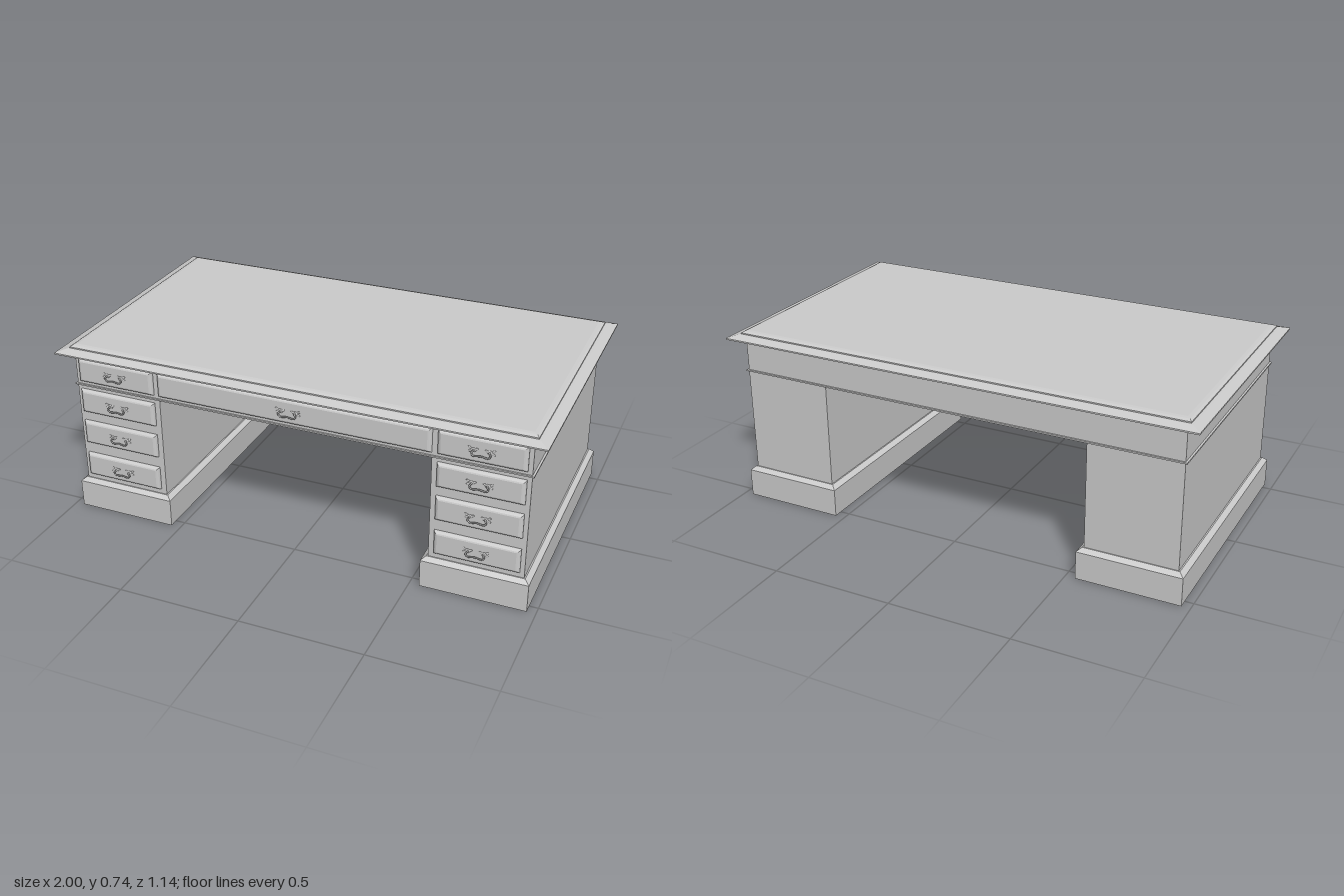
import * as THREE from 'three';

const mat = new THREE.MeshStandardMaterial({ color: 0xcccccc });
const flat = new THREE.MeshStandardMaterial({ color: 0xcccccc, flatShading: true });

// Solid made of stacked rectangles, each row being [halfX, halfZ, y]
function stackedRects(rows) {
  const pos = [];
  const corners = ([x, z, y]) => [[-x, y, z], [x, y, z], [x, y, -z], [-x, y, -z]];
  const quad = (a, b, c, d) => pos.push(...a, ...b, ...c, ...a, ...c, ...d);
  const rings = rows.map(corners);
  for (let i = 0; i < rings.length - 1; i++) {
    const lo = rings[i], hi = rings[i + 1];
    for (let k = 0; k < 4; k++) {
      const n = (k + 1) % 4;
      quad(lo[k], lo[n], hi[n], hi[k]);
    }
  }
  const first = rings[0], last = rings[rings.length - 1];
  quad(last[0], last[1], last[2], last[3]);
  quad(first[3], first[2], first[1], first[0]);
  const g = new THREE.BufferGeometry();
  g.setAttribute('position', new THREE.Float32BufferAttribute(pos, 3));
  g.computeVertexNormals();
  return g;
}

function add(parent, name, geometry, x = 0, y = 0, z = 0, material = mat) {
  const m = new THREE.Mesh(geometry, material);
  m.name = name;
  m.position.set(x, y, z);
  parent.add(m);
  return m;
}

// Drop handle: two leaf-shaped rosettes with posts and a curved bail
function makeHandle() {
  const h = new THREE.Group();
  h.name = 'handle';
  const rosette = new THREE.SphereGeometry(0.011, 12, 8);
  const leaf = new THREE.SphereGeometry(0.007, 10, 6);
  const post = new THREE.CylinderGeometry(0.003, 0.004, 0.012, 8).rotateX(Math.PI / 2);
  for (const s of [-1, 1]) {
    add(h, 'rosette', rosette, s * 0.031, 0, 0).scale.set(1, 0.8, 0.25);
    for (const [dx, dy, turn] of [[0.013, 0.007, 0.5], [0.012, -0.005, -0.4], [-0.011, 0.004, -0.4]]) {
      const l = add(h, 'rosetteLeaf', leaf, s * (0.031 + dx), dy, 0);
      l.scale.set(1.2, 0.6, 0.3);
      l.rotation.z = s * turn;
    }
    add(h, 'post', post, s * 0.03, 0, 0.005);
  }
  const half = [[0.03, 0, 0.009], [0.036, -0.009, 0.010], [0.028, -0.019, 0.010], [0.014, -0.018, 0.010]];
  const pts = [
    ...half.map(([x, y, z]) => new THREE.Vector3(-x, y, z)),
    new THREE.Vector3(0, -0.016, 0.010),
    ...half.slice().reverse().map(([x, y, z]) => new THREE.Vector3(x, y, z)),
  ];
  add(h, 'bail', new THREE.TubeGeometry(new THREE.CatmullRomCurve3(pts), 32, 0.0032, 6));
  return h;
}

// Drawer front with a lipped, bevelled edge and its handle
function makeDrawer(name, x, y, w, h) {
  const d = new THREE.Group();
  d.name = name;
  const a = w / 2, b = h / 2;
  const front = stackedRects([
    [a, b, -0.004], [a, b, 0.006], [a - 0.003, b - 0.003, 0.011],
    [a - 0.008, b - 0.007, 0.015], [a - 0.014, b - 0.012, 0.017],
  ]).rotateX(Math.PI / 2);
  add(d, 'drawerFront', front, 0, 0, 0, flat);
  const handle = makeHandle();
  handle.position.set(0, 0.002, 0.018);
  d.add(handle);
  d.position.set(x, y, 0.516);
  return d;
}

export function createModel() {
  const desk = new THREE.Group();
  desk.name = 'pedestalDesk';

  // Moulded top
  add(desk, 'deskTop', stackedRects([
    [0.945, 0.522, 0.704], [0.97, 0.545, 0.707], [1, 0.57, 0.711], [1, 0.57, 0.717],
    [0.965, 0.536, 0.727], [0.955, 0.528, 0.729], [0.955, 0.528, 0.734],
    [0.945, 0.515, 0.739], [0.932, 0.502, 0.741],
  ]), 0, 0, 0, flat);

  // Apron spanning both pedestals, with a thin bead along its lower edge
  add(desk, 'apron', new THREE.BoxGeometry(1.88, 0.136, 1.032), 0, 0.638, 0);
  add(desk, 'bead', new THREE.BoxGeometry(1.896, 0.006, 1.046), 0, 0.570, 0);
  desk.add(makeDrawer('centreDrawer', 0, 0.638, 1.13, 0.102));

  // Pedestals on chamfered plinths
  for (const s of [-1, 1]) {
    const pedestal = new THREE.Group();
    pedestal.name = s > 0 ? 'leftPedestal' : 'rightPedestal';
    add(pedestal, 'cabinet', new THREE.BoxGeometry(0.375, 0.45, 1.032), s * 0.7525, 0.346, 0);
    add(pedestal, 'plinth', stackedRects([
      [0.212, 0.537, 0], [0.212, 0.537, 0.116], [0.205, 0.530, 0.122], [0.193, 0.520, 0.132],
    ]), s * 0.7525, 0, 0, flat);
    for (const y of [0.638, 0.500, 0.357, 0.206]) {
      pedestal.add(makeDrawer('drawer', s * 0.755, y, 0.335, 0.102));
    }
    desk.add(pedestal);
  }
  return desk;
}
